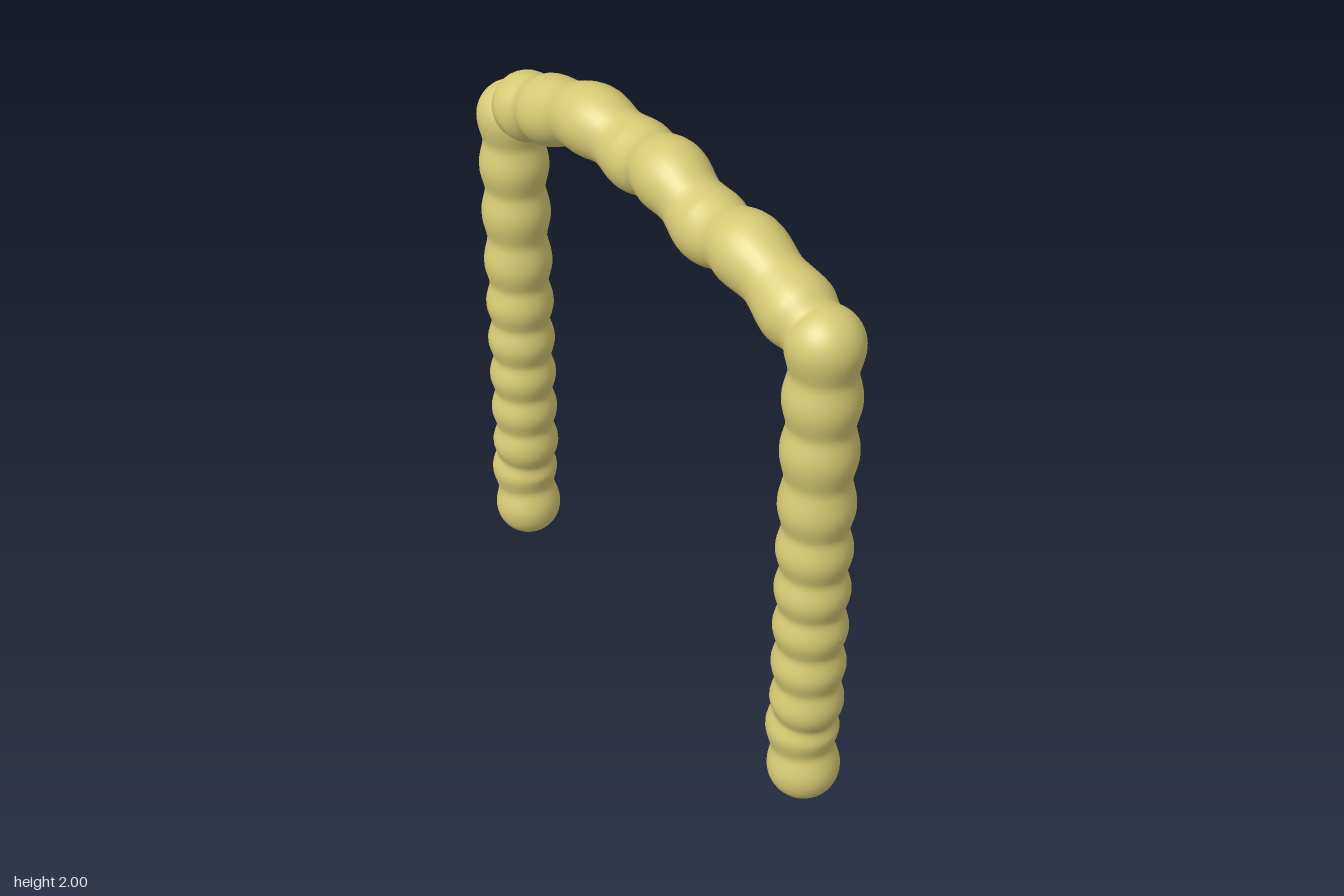
import * as THREE from 'three';

const R = 0.116;     // bead radius
const NECK = 0.1;    // radius between beads
const SIDES = 32;
const STEPS = 12;    // rings per bead

// Lumpy rod with round ends, swept through bead centres that lie near a plane of constant x
function beadedRod(name, centres, material) {
  const curve = new THREE.CatmullRomCurve3(centres.map((c) => new THREE.Vector3(...c)));
  const n = centres.length - 1;
  const rings = [];
  const addCap = (u, sign) => {
    const tangent = curve.getTangent(u);
    for (let k = 0; k < 10; k++) {
      const a = (sign < 0 ? 10 - k : k + 1) / 10 * Math.PI / 2;
      rings.push({
        p: curve.getPoint(u).addScaledVector(tangent, sign * R * Math.sin(a)),
        t: tangent,
        r: Math.max(R * Math.cos(a), 0.0005),
      });
    }
  };
  addCap(0, -1);
  for (let i = 0; i <= n * STEPS; i++) {
    const u = i / (n * STEPS);
    const swell = Math.pow(0.5 + 0.5 * Math.cos(2 * Math.PI * i / STEPS), 0.7);
    rings.push({ p: curve.getPoint(u), t: curve.getTangent(u), r: NECK + (R - NECK) * swell });
  }
  addCap(1, 1);

  const positions = [];
  const index = [];
  const side = new THREE.Vector3(1, 0, 0);
  rings.forEach(({ p, t, r }, j) => {
    const up = new THREE.Vector3().crossVectors(t, side).normalize();
    const across = new THREE.Vector3().crossVectors(up, t).normalize();
    for (let i = 0; i < SIDES; i++) {
      const a = i / SIDES * Math.PI * 2;
      const v = p.clone()
        .addScaledVector(across, r * Math.cos(a))
        .addScaledVector(up, -r * Math.sin(a));
      positions.push(v.x, v.y, v.z);
      if (j === 0) continue;
      const k = (i + 1) % SIDES;
      const a0 = (j - 1) * SIDES + i, a1 = (j - 1) * SIDES + k;
      const b0 = j * SIDES + i, b1 = j * SIDES + k;
      // across, -up and tangent decide the outward winding
      index.push(a0, b1, b0, a0, a1, b1);
    }
  });
  const geometry = new THREE.BufferGeometry();
  geometry.setAttribute('position', new THREE.Float32BufferAttribute(positions, 3));
  // keep the faces outward whichever way the frame turns
  const f = rings[12];
  const e = new THREE.Vector3().crossVectors(f.t, side);
  const across = new THREE.Vector3().crossVectors(e, f.t);
  const turn = new THREE.Vector3().crossVectors(across, e.negate()).dot(f.t);
  if (turn < 0) index.reverse();
  geometry.setIndex(index);
  geometry.computeVertexNormals();
  const mesh = new THREE.Mesh(geometry, material);
  mesh.name = name;
  return mesh;
}

export function createModel() {
  const group = new THREE.Group();
  group.name = 'beadedArch';
  const material = new THREE.MeshStandardMaterial({ color: 0xd6c973 });

  // Two upright legs, with the second bead pushed slightly backwards
  const heights = [0.12, 0.275, 0.4, 0.545, 0.69, 0.835, 0.985, 1.15, 1.34, 1.52, 1.7];
  const leg = (name, z) => beadedRod(name,
    heights.map((y, i) => [-0.01, y, z - (i === 1 ? 0.014 : 0)]), material);
  group.add(leg('frontLeg', 0.828), leg('backLeg', -0.81));

  // Wavy beam joining the leg tops
  group.add(beadedRod('topBeam', [
    [-0.01, 1.7, 0.828],
    [-0.01, 1.745, 0.7],
    [-0.015, 1.825, 0.48],
    [-0.01, 1.815, 0.29],
    [-0.01, 1.885, 0.09],
    [0.015, 1.855, -0.11],
    [-0.005, 1.885, -0.32],
    [0, 1.81, -0.58],
    [-0.005, 1.765, -0.72],
    [-0.01, 1.7, -0.81],
  ], material));
  return group;
}
